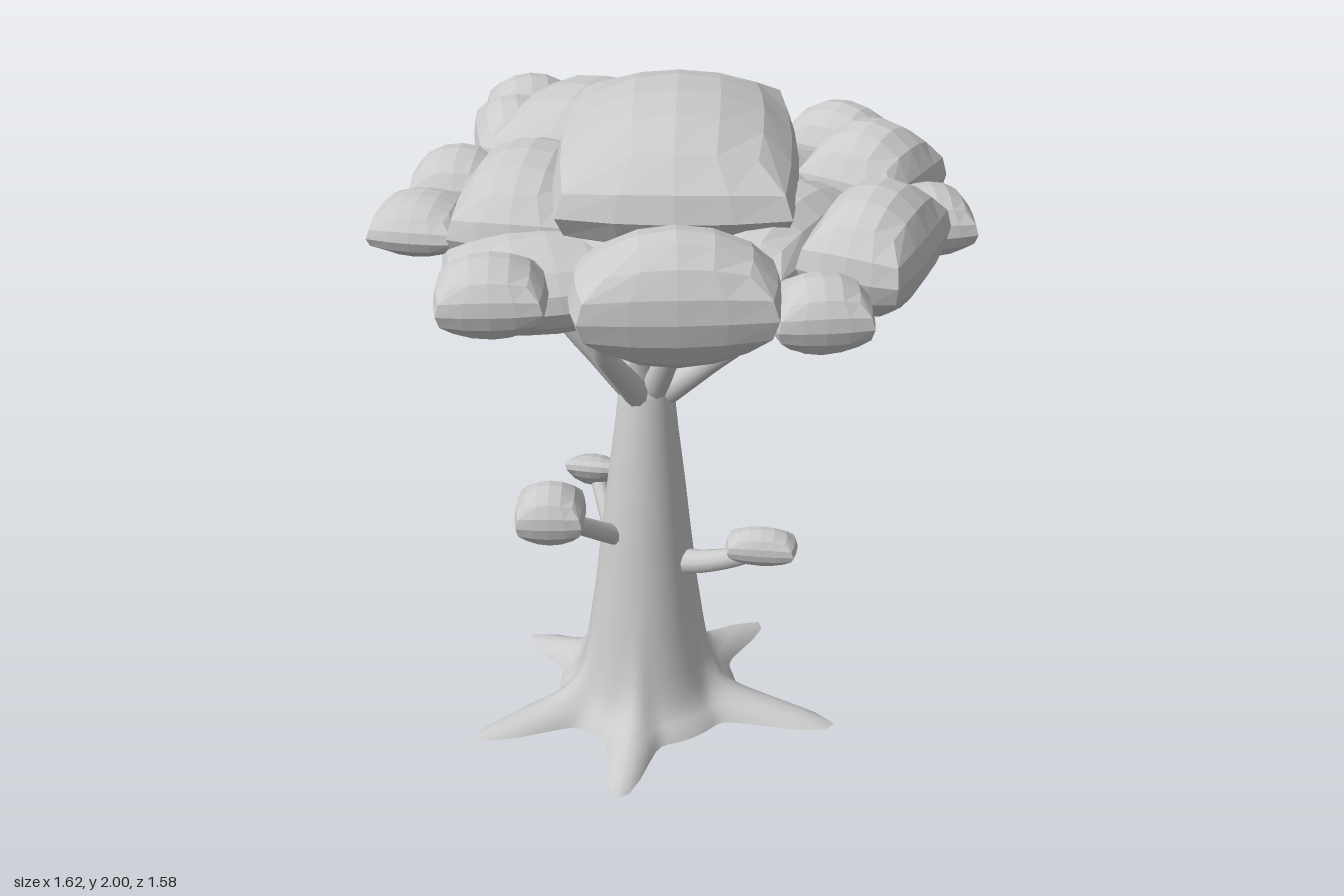
import * as THREE from 'three';
import { mergeVertices } from 'three/addons/utils/BufferGeometryUtils.js';

const bark = new THREE.MeshStandardMaterial({ color: 0xcccccc, side: THREE.DoubleSide });
const leaf = new THREE.MeshStandardMaterial({ color: 0xcccccc, flatShading: true });

// Rounded cushion: square in plan, domed above and below
function cushionGeometry() {
  const g = new THREE.BoxGeometry(2, 2, 2, 4, 4, 4);
  const p = g.attributes.position;
  for (let i = 0; i < p.count; i++) {
    const x = p.getX(i), y = p.getY(i), z = p.getZ(i);
    const pinch = Math.sqrt(1 - 0.5 * y * y);
    p.setXYZ(i,
      x * pinch * (1 - 0.08 * z * z),
      y * Math.sqrt(1 - x * x / 2 - z * z / 2 + x * x * z * z / 3),
      z * pinch * (1 - 0.08 * x * x));
  }
  g.computeVertexNormals();
  return g;
}
const cushion = cushionGeometry();

function leafClump(name, [x, y, z], [hx, hy, hz], yaw = 0, tilt = 0) {
  const m = new THREE.Mesh(cushion, leaf);
  m.name = name;
  m.position.set(x, y, z);
  m.scale.set(hx, hy, hz);
  m.rotation.set(tilt, yaw, 0);
  return m;
}

// Tube that narrows along its path
function branch(name, points, r0, r1) {
  const curve = new THREE.CatmullRomCurve3(points.map((p) => new THREE.Vector3(...p)));
  const steps = 14, sides = 10;
  const g = new THREE.TubeGeometry(curve, steps, 1, sides);
  const p = g.attributes.position, v = new THREE.Vector3();
  for (let i = 0; i < p.count; i++) {
    const t = Math.floor(i / (sides + 1)) / steps;
    const c = curve.getPointAt(t);
    v.fromBufferAttribute(p, i).sub(c).multiplyScalar(r0 + (r1 - r0) * t).add(c);
    p.setXYZ(i, v.x, v.y, v.z);
  }
  const m = new THREE.Mesh(g, bark);
  m.name = name;
  return m;
}

// Trunk rings: height, radius, centre x, centre z, root spread
const rings = [
  [1.115, 0.001, -0.1, 0.06, 0], [1.11, 0.07, -0.1, 0.06, 0], [1.08, 0.08, -0.1, 0.06, 0],
  [0.95, 0.094, -0.1, 0.07, 0], [0.78, 0.115, -0.1, 0.08, 0], [0.6, 0.135, -0.1, 0.09, 0],
  [0.42, 0.155, -0.1, 0.095, 0], [0.28, 0.175, -0.1, 0.1, 0.01], [0.18, 0.19, -0.1, 0.1, 0.03],
  [0.11, 0.21, -0.1, 0.1, 0.08], [0.07, 0.225, -0.1, 0.1, 0.2], [0.045, 0.245, -0.1, 0.1, 0.42],
  [0.025, 0.265, -0.1, 0.1, 0.7], [0, 0.28, -0.1, 0.1, 1]
];
// Roots: direction and reach
const roots = [[2.55, 0.58], [1.56, 0.52], [0.15, 0.61], [-0.9, 0.5], [-2.7, 0.47], [-1.95, 0.66]];

function trunk() {
  const sides = 96;
  const g = new THREE.CylinderGeometry(1, 1, 1, sides, rings.length - 1, true);
  const p = g.attributes.position;
  for (let i = 0; i < p.count; i++) {
    const [y, r, cx, cz, spread] = rings[Math.floor(i / (sides + 1))];
    const a = Math.atan2(p.getZ(i), p.getX(i));
    let reach = 0;
    for (const [dir, len] of roots) {
      const d = Math.atan2(Math.sin(a - dir), Math.cos(a - dir));
      reach = Math.max(reach, (len - r) * Math.exp(-((d / 0.17) ** 2)));
    }
    const rad = r + spread * reach;
    p.setXYZ(i, cx + rad * Math.cos(a), y, cz + rad * Math.sin(a));
  }
  g.deleteAttribute('uv');
  g.deleteAttribute('normal');
  const smooth = mergeVertices(g, 1e-5);
  smooth.computeVertexNormals();
  const m = new THREE.Mesh(smooth, bark);
  m.name = 'trunkAndRoots';
  return m;
}

// Crown clumps: x, z, half width, half depth, bottom, top, yaw
const clumps = [
  [-0.01, 0.05, 0.33, 0.42, 1.6, 2.0, 0.14],
  [-0.4, 0.13, 0.19, 0.27, 1.5, 1.84, 0],
  [-0.32, -0.25, 0.24, 0.29, 1.5, 1.88, -0.28],
  [-0.55, -0.34, 0.13, 0.2, 1.52, 1.78, 0.3],
  [-0.56, -0.56, 0.14, 0.135, 1.53, 1.77, 0.3],
  [-0.25, -0.42, 0.24, 0.2, 1.5, 1.8, -0.08],
  [-0.04, -0.64, 0.135, 0.125, 1.57, 1.76, 0.28],
  [0.05, -0.4, 0.18, 0.17, 1.48, 1.82, 0.3],
  [0.39, -0.5, 0.17, 0.135, 1.46, 1.77, -0.43],
  [0.5, -0.15, 0.17, 0.18, 1.5, 1.86, -0.42],
  [0.68, 0.03, 0.11, 0.13, 1.57, 1.76, 0.3],
  [0.55, 0.31, 0.15, 0.22, 1.53, 1.88, -0.28],
  [0.3, 0.25, 0.16, 0.28, 1.48, 1.82, -0.4],
  [0.08, 0.61, 0.27, 0.155, 1.49, 1.86, 0.2],
  [0.44, 0.58, 0.13, 0.11, 1.54, 1.75, 0.25],
  [-0.39, 0.63, 0.145, 0.125, 1.54, 1.76, 0.2],
  [-0.68, 0.24, 0.13, 0.14, 1.57, 1.73, 0],
  [-0.64, -0.02, 0.14, 0.14, 1.53, 1.76, 0.06],
  [-0.3, 0.4, 0.27, 0.22, 1.47, 1.72, 0.4],
  [0.0, 0.05, 0.46, 0.44, 1.46, 1.78, 0.1]
];

// Crown branches: tip x, y, z
const tips = [
  [-0.39, 1.54, 0.12], [-0.3, 1.55, -0.2], [-0.2, 1.56, 0.36], [0.04, 1.56, 0.22],
  [0.31, 1.56, 0.1], [0.16, 1.55, -0.33], [-0.1, 1.56, -0.2], [-0.12, 1.55, 0.12]
];

export function createModel() {
  const tree = new THREE.Group();
  tree.name = 'tree';
  tree.add(trunk());

  const crown = new THREE.Group();
  crown.name = 'crown';
  for (const [x, z, hx, hz, lo, hi, yaw] of clumps) {
    crown.add(leafClump('crownClump', [x, (lo + hi) / 2, z], [hx, (hi - lo) / 2, hz], yaw));
  }
  tree.add(crown);

  // Limbs sweep out of the trunk top, then turn upward; most carry a fork
  const limbs = new THREE.Group();
  limbs.name = 'crownBranches';
  tips.forEach(([x, y, z], i) => {
    const at = (k, h) => [-0.1 + (x + 0.1) * k, h, 0.06 + (z - 0.06) * k];
    limbs.add(branch('limb', [at(0.1, 1.06), at(0.42, 1.18), at(0.8, 1.33), [x, y, z]], 0.042, 0.018));
    if (i < 6) {
      const s = i % 2 ? 1 : -1;
      const dx = s * (z - 0.06) * 0.3, dz = -s * (x + 0.1) * 0.3;
      const end = at(0.7, 1.53);
      limbs.add(branch('fork', [at(0.5, 1.21), [end[0] + dx * 0.7, 1.36, end[2] + dz * 0.7],
        [end[0] + dx, 1.53, end[2] + dz]], 0.026, 0.014));
    }
  });
  tree.add(limbs);

  // Three side twigs with their own small clumps
  tree.add(
    branch('rightTwig', [[-0.13, 0.58, 0.12], [-0.21, 0.67, 0.22], [-0.31, 0.82, 0.39]], 0.032, 0.025),
    leafClump('rightTwigClump', [-0.315, 0.85, 0.41], [0.1, 0.095, 0.09], 0.15),
    branch('leftTwig', [[-0.02, 0.52, 0.12], [0.07, 0.545, 0.15], [0.18, 0.6, 0.19], [0.27, 0.66, 0.22]], 0.04, 0.025),
    leafClump('leftTwigClump', [0.265, 0.67, 0.22], [0.105, 0.06, 0.055], 0.05),
    branch('backTwig', [[-0.18, 0.34, 0.0], [-0.25, 0.46, -0.11], [-0.32, 0.57, -0.24]], 0.03, 0.024),
    leafClump('backTwigClump', [-0.33, 0.57, -0.26], [0.085, 0.05, 0.11], 0, -0.65)
  );
  return tree;
}
